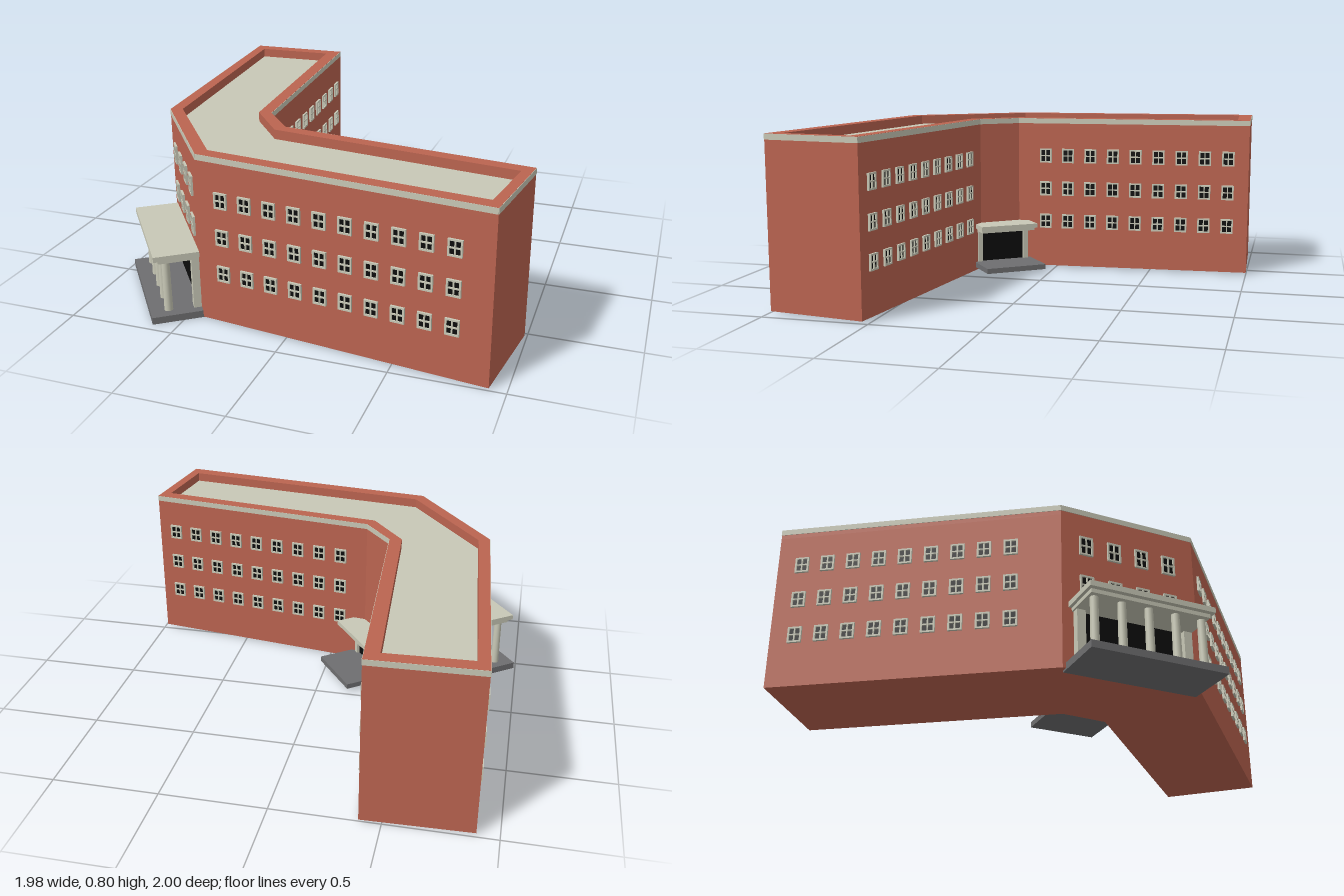
import * as THREE from 'three';

const mat = (color) => new THREE.MeshStandardMaterial({ color });
const brick = mat(0xbb6450), stone = mat(0xc8c8b6), paving = mat(0x6e6e70), dark = mat(0x0c0c0c);

// Plan outlines as [x, z], walked so that every wall faces outward
const outer = [[-0.815, 0.30], [-0.42, 0.83], [0.925, 0.995], [0.99, 0.53],
  [-0.19, 0.37], [-0.33, 0.20], [-0.40, -1.0], [-0.90, -0.985]];
const inner = [[-0.76, 0.28], [-0.39, 0.77], [0.888, 0.925], [0.936, 0.585],
  [-0.22, 0.425], [-0.39, 0.21], [-0.463, -0.935], [-0.845, -0.92]];

const toPoints = (plan) => plan.map(([x, z]) => new THREE.Vector2(x, -z));

function slab(name, plan, hole, y0, y1, material) {
  const shape = new THREE.Shape(toPoints(plan));
  if (hole) shape.holes.push(new THREE.Path(toPoints(hole)));
  const geo = new THREE.ExtrudeGeometry(shape, { depth: y1 - y0, bevelEnabled: false });
  geo.rotateX(-Math.PI / 2).translate(0, y0, 0);
  const mesh = new THREE.Mesh(geo, material);
  mesh.name = name;
  return mesh;
}

// Box given by its limits: x along the wall, z outward from it
function box(parent, name, x0, x1, y0, y1, z0, z1, material) {
  const mesh = new THREE.Mesh(new THREE.BoxGeometry(x1 - x0, y1 - y0, z1 - z0), material);
  mesh.position.set((x0 + x1) / 2, (y0 + y1) / 2, (z0 + z1) / 2);
  mesh.name = name;
  parent.add(mesh);
}

function rectangle(Type, x0, y0, x1, y1) {
  return new Type([[x0, y0], [x1, y0], [x1, y1], [x0, y1]].map((p) => new THREE.Vector2(...p)));
}

// Window with a frame divided into four panes
function makeWindow(w, h) {
  const rim = 0.008, bar = 0.003;
  const shape = rectangle(THREE.Shape, -w / 2, -h / 2, w / 2, h / 2);
  for (const [x0, x1] of [[-w / 2 + rim, -bar], [bar, w / 2 - rim]])
    for (const [y0, y1] of [[-h / 2 + rim, -bar], [bar, h / 2 - rim]])
      shape.holes.push(rectangle(THREE.Path, x0, y0, x1, y1));
  const frame = new THREE.Mesh(new THREE.ExtrudeGeometry(shape, { depth: 0.01, bevelEnabled: false }), stone);
  frame.name = 'windowFrame';
  const group = new THREE.Group();
  group.name = 'window';
  group.add(frame);
  box(group, 'windowPane', -w / 2 + 0.002, w / 2 - 0.002, -h / 2 + 0.002, h / 2 - 0.002, -0.002, 0.003, dark);
  return group;
}

// Group whose x axis runs along the wall from p to q and whose z axis points outward
function wallFrame(name, p, q) {
  const group = new THREE.Group();
  group.name = name;
  group.position.set(p[0], 0, p[1]);
  group.rotation.y = Math.atan2(p[1] - q[1], q[0] - p[0]);
  return group;
}

function addWindows(wall, model, first, spacing, count, rows) {
  for (const y of rows)
    for (let i = 0; i < count; i++) {
      const copy = model.clone();
      copy.position.set(first + i * spacing, y, 0);
      wall.add(copy);
    }
}

function addFrontPorch(wall) {
  const porch = new THREE.Group();
  porch.name = 'frontPorch';
  box(porch, 'porchFloor', 0.015, 0.65, 0, 0.033, -0.03, 0.232, paving);
  box(porch, 'porchRoof', 0.03, 0.626, 0.293, 0.318, -0.02, 0.207, stone);
  box(porch, 'porchBeam', 0.045, 0.611, 0.275, 0.293, -0.02, 0.185, stone);
  box(porch, 'entrance', 0.07, 0.59, 0.033, 0.275, -0.01, 0.008, dark);
  for (const x of [0.073, 0.59]) box(porch, 'pilaster', x - 0.02, x + 0.02, 0.033, 0.275, -0.01, 0.035, stone);
  const column = new THREE.CylinderGeometry(0.018, 0.02, 0.242, 20);
  for (let i = 0; i < 5; i++) {
    const mesh = new THREE.Mesh(column, stone);
    mesh.name = 'column';
    mesh.position.set(0.075 + i * 0.128, 0.154, 0.148);
    porch.add(mesh);
  }
  wall.add(porch);
}

function makeBackPorch() {
  const porch = wallFrame('backPorch', [-0.26, 0.285], [-0.86, -0.515]);
  box(porch, 'porchFloor', -0.16, 0.16, 0.024, 0.05, -0.04, 0.241, paving);
  box(porch, 'porchRoof', -0.154, 0.154, 0.228, 0.25, -0.04, 0.145, stone);
  box(porch, 'porchBeam', -0.145, 0.145, 0.213, 0.228, -0.04, 0.125, stone);
  box(porch, 'entrance', -0.115, 0.115, 0.05, 0.213, -0.03, 0.03, dark);
  for (const s of [-1, 1]) box(porch, 'pier', s * 0.128 - 0.013, s * 0.128 + 0.013, 0.05, 0.213, -0.04, 0.045, stone);
  return porch;
}

export function createModel() {
  const model = new THREE.Group();
  model.name = 'building';

  // Brick body, sunken roof and parapet
  model.add(slab('body', outer, null, 0.008, 0.75, brick));
  model.add(slab('roof', inner, null, 0.745, 0.752, stone));
  model.add(slab('parapet', outer, inner, 0.75, 0.797, brick));

  // Walls with a pale band under the parapet edge
  const names = ['entranceWall', 'frontWall', 'leftEndWall', 'leftBackWall',
    'cornerWall', 'innerWall', 'rearEndWall', 'rightWall'];
  const walls = {};
  outer.forEach((p, i) => {
    const q = outer[(i + 1) % outer.length];
    const wall = wallFrame(names[i], p, q);
    const length = Math.hypot(q[0] - p[0], q[1] - p[1]);
    box(wall, 'cornice', 0, length, 0.77, 0.7965, -0.002, 0.002, stone);
    walls[names[i]] = wall;
    model.add(wall);
  });

  // Rows of windows
  const small = makeWindow(0.063, 0.075), tall = makeWindow(0.065, 0.092);
  const rows = [0.25, 0.425, 0.6];
  addWindows(walls.frontWall, small, 0.12, 0.119, 10, rows);
  addWindows(walls.leftBackWall, small, 0.098, 0.119, 9, rows);
  addWindows(walls.innerWall, small, 0.146, 0.119, 9, rows);
  addWindows(walls.rightWall, small, 0.115, 0.119, 9, rows);
  addWindows(walls.entranceWall, tall, 0.118, 0.137, 4, [0.415, 0.61]);

  addFrontPorch(walls.entranceWall);
  model.add(makeBackPorch());
  return model;
}
